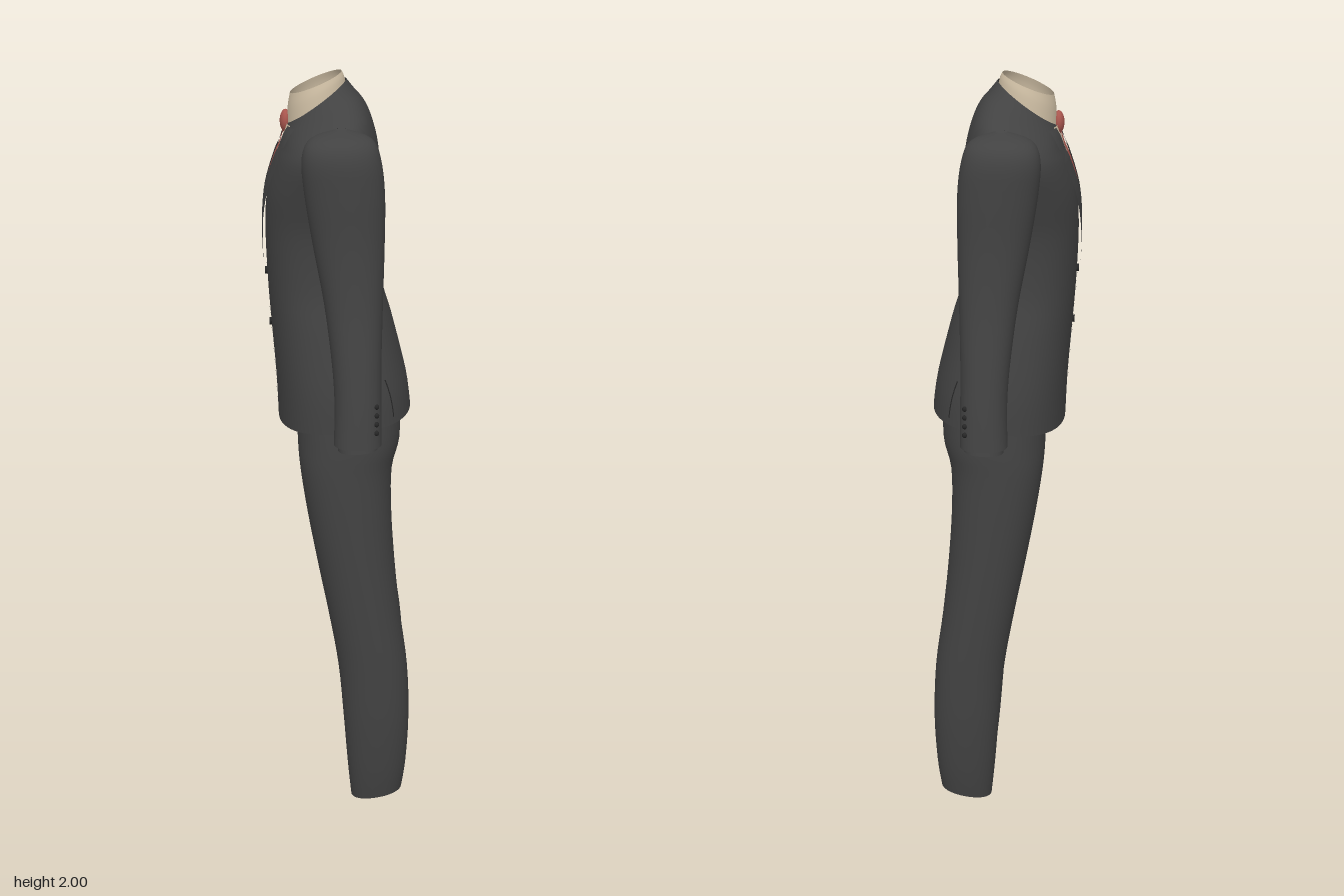
import * as THREE from 'three';

const mat = (name, color) => new THREE.MeshStandardMaterial({ name, color, side: THREE.DoubleSide });

// A ring is [yFront, yBack, xFront, xBack, zMin, zMax, squareness]; the suit faces -x.
function ringPoint(r, a) {
  const [yF, yB, xF, xB, z0, z1, n] = r;
  const pow = (v) => Math.sign(v) * Math.abs(v) ** (2 / n);
  const u = (1 - pow(Math.cos(a))) / 2;
  return [xF + (xB - xF) * u, yF + (yB - yF) * u, (z0 + z1) / 2 + ((z1 - z0) / 2) * pow(Math.sin(a))];
}

// Smooth blend between neighbouring rings, t in 0..1
function ringAt(rings, t) {
  const f = t * (rings.length - 1);
  const i = Math.min(Math.floor(f), rings.length - 2);
  const k = f - i;
  const at = (j) => rings[Math.max(0, Math.min(rings.length - 1, j))];
  return rings[i].map((b, c) => {
    const p0 = at(i - 1)[c], p2 = at(i + 1)[c], p3 = at(i + 2)[c];
    const m1 = (p2 - p0) / 2, m2 = (p3 - b) / 2;
    return b + m1 * k + (3 * (p2 - b) - 2 * m1 - m2) * k * k + (2 * (b - p2) + m1 + m2) * k ** 3;
  });
}

function build(pos, index) {
  const g = new THREE.BufferGeometry();
  g.setAttribute('position', new THREE.Float32BufferAttribute(pos, 3));
  g.setIndex(index);
  g.computeVertexNormals();
  return g;
}

// Skin over rings listed from bottom to top, with optional bottom cap
function loft(rings, capped = false, sides = 40) {
  const pos = [], idx = [];
  const rows = (rings.length - 1) * 4;
  for (let i = 0; i <= rows; i++) {
    const r = ringAt(rings, i / rows);
    for (let j = 0; j < sides; j++) pos.push(...ringPoint(r, (j / sides) * Math.PI * 2));
  }
  for (let i = 0; i < rows; i++) {
    for (let j = 0; j < sides; j++) {
      const a = i * sides + j, b = i * sides + ((j + 1) % sides);
      idx.push(a, b, a + sides, b, b + sides, a + sides);
    }
  }
  if (capped) {
    const r = rings[0], base = pos.length / 3;
    pos.push((r[2] + r[3]) / 2, (r[0] + r[1]) / 2, (r[4] + r[5]) / 2);
    for (let j = 0; j < sides; j++) pos.push(...ringPoint(r, (j / sides) * Math.PI * 2));
    for (let j = 0; j < sides; j++) idx.push(base, base + 1 + ((j + 1) % sides), base + 1 + j);
  }
  return build(pos, idx);
}

const sym = (yF, yB, xF, xB, w, n) => [yF, yB, xF, xB, -w, w, n];
const jacketRings = [
  sym(1.085, 1.115, -0.165, 0.19, 0.25, 2.5),
  sym(1.2, 1.2, -0.17, 0.178, 0.243, 2.5),
  sym(1.35, 1.35, -0.182, 0.14, 0.217, 2.4),
  sym(1.46, 1.46, -0.19, 0.11, 0.196, 2.4),
  sym(1.6, 1.6, -0.195, 0.11, 0.197, 2.4),
  sym(1.7, 1.7, -0.188, 0.107, 0.222, 2.4),
  sym(1.78, 1.81, -0.165, 0.1, 0.25, 2.4),
  sym(1.815, 1.88, -0.15, 0.083, 0.235, 2.3),
  sym(1.842, 1.925, -0.142, 0.062, 0.17, 2.2),
  sym(1.858, 1.955, -0.138, 0.037, 0.118, 2.1),
  sym(1.87, 1.98, -0.135, 0.017, 0.09, 2),
];
const legRings = [
  [0, 0.025, 0.03, 0.17, 0.105, 0.215, 2.2],
  [0.1, 0.11, 0.02, 0.181, 0.1, 0.23, 2.2],
  [0.25, 0.25, 0.008, 0.188, 0.09, 0.243, 2.2],
  [0.4, 0.4, -0.006, 0.182, 0.073, 0.247, 2.2],
  [0.55, 0.55, -0.032, 0.162, 0.055, 0.249, 2.2],
  [0.7, 0.7, -0.062, 0.146, 0.038, 0.25, 2.2],
  [0.85, 0.85, -0.09, 0.136, 0.02, 0.25, 2.3],
  [0.97, 0.97, -0.108, 0.137, 0, 0.249, 2.3],
  [1.05, 1.05, -0.114, 0.158, -0.05, 0.247, 2.3],
  [1.16, 1.16, -0.115, 0.16, -0.1, 0.235, 2.3],
];
const sleeveRings = [
  [1.1, 1.1, -0.022, 0.1, 0.272, 0.385, 2.2],
  [1.2, 1.2, -0.02, 0.1, 0.247, 0.37, 2.2],
  [1.3, 1.3, -0.026, 0.1, 0.225, 0.352, 2.2],
  [1.45, 1.45, -0.045, 0.104, 0.192, 0.325, 2.2],
  [1.6, 1.6, -0.073, 0.108, 0.174, 0.311, 2.2],
  [1.73, 1.73, -0.094, 0.108, 0.168, 0.31, 2.2],
  [1.82, 1.82, -0.1, 0.097, 0.165, 0.306, 2.2],
  [1.865, 1.865, -0.078, 0.075, 0.16, 0.277, 2.2],
  [1.885, 1.885, -0.015, 0.015, 0.185, 0.215, 2],
];
const cuffRings = [
  [1.085, 1.09, -0.012, 0.09, 0.283, 0.378, 2.2],
  [1.13, 1.13, -0.012, 0.09, 0.275, 0.37, 2.2],
];
const collarRings = [
  sym(1.86, 1.968, -0.136, 0.016, 0.089, 2),
  sym(1.91, 1.988, -0.134, 0.011, 0.085, 2),
  sym(1.945, 2.0, -0.128, 0.005, 0.079, 2),
];
const mirror = (rings) => rings.map(([a, b, c, d, z0, z1, n]) => [a, b, c, d, -z1, -z0, n]);

// Depth of the jacket surface at height y and width z; face -1 is the chest, +1 the back
function jacketX(y, z, face = -1) {
  let lo = 0, hi = 1, p;
  for (let k = 0; k < 30; k++) {
    const t = (lo + hi) / 2, r = ringAt(jacketRings, t);
    const s = Math.min(1, Math.abs(z) / r[5]) ** (r[6] / 2);
    p = ringPoint(r, face < 0 ? Math.asin(s) : Math.PI - Math.asin(s));
    if (p[1] < y) lo = t; else hi = t;
  }
  return p[0];
}

// Thin cloth panel laid on the jacket; rows are [y, zFrom, zTo]
function panel(rows, lift, face = -1) {
  const pos = [], idx = [], cols = 8, steps = 8;
  const total = (rows.length - 1) * steps;
  for (let i = 0; i <= total; i++) {
    const k = Math.min(Math.floor(i / steps), rows.length - 2), f = i / steps - k;
    const [y, a, b] = rows[k].map((v, c) => v + (rows[k + 1][c] - v) * f);
    for (let j = 0; j <= cols; j++) {
      const z = a + ((b - a) * j) / cols;
      pos.push(jacketX(y, z, face) + face * lift, y, z);
    }
  }
  for (let i = 0; i < total; i++) {
    for (let j = 0; j < cols; j++) {
      const a = i * (cols + 1) + j, c = a + cols + 1;
      idx.push(a, a + 1, c, a + 1, c + 1, c);
    }
  }
  return build(pos, idx);
}

export function createModel() {
  const cloth = mat('charcoal cloth', 0x424242);
  const trim = mat('dark trim', 0x262626);
  const shirt = mat('cream shirt', 0xcdbda3);
  const tieRed = mat('red tie', 0xa9564e);
  const group = new THREE.Group();
  const add = (name, geometry, material) => {
    const mesh = new THREE.Mesh(geometry, material);
    mesh.name = name;
    group.add(mesh);
    return mesh;
  };

  add('jacketBody', loft(jacketRings, false, 64), cloth);
  add('shirtCollar', loft(collarRings), shirt);

  // Shirt front and tie in the neck opening
  add('shirtFront', panel([[1.67, -0.003, 0.003], [1.8, -0.045, 0.045], [1.868, -0.06, 0.06]], 0.003), shirt);
  add('tieBlade', panel([[1.67, -0.003, 0.003], [1.75, -0.027, 0.027], [1.85, -0.018, 0.018]], 0.007), tieRed);
  const knot = add('tieKnot', new THREE.SphereGeometry(1, 20, 14), tieRed);
  knot.scale.set(0.015, 0.03, 0.024);
  knot.position.set(-0.14, 1.872, 0);

  // Front closure and buttons
  add('frontEdge', panel([[1.1, 0.004, 0.007], [1.5, 0.004, 0.007]], 0.002), trim);
  for (const y of [1.34, 1.48]) {
    const button = add('frontButton', new THREE.CylinderGeometry(0.01, 0.01, 0.006, 16), trim);
    button.rotation.z = Math.PI / 2;
    button.position.set(jacketX(y, 0.02) - 0.003, y, 0.02);
  }

  for (const side of [1, -1]) {
    const label = side > 0 ? 'left' : 'right';
    const place = (rings) => (side > 0 ? rings : mirror(rings));
    add(label + 'TrouserLeg', loft(place(legRings), true), cloth);
    add(label + 'Sleeve', loft(place(sleeveRings), true), cloth);
    add(label + 'InnerCuff', loft(place(cuffRings), true), cloth);

    // Notched lapel, collar wing and rear vent
    const flip = (rows) => rows.map(([y, a, b]) => (side > 0 ? [y, a, b] : [y, -b, -a]));
    add(label + 'Lapel', panel(flip([[1.5, 0, 0.004], [1.66, 0, 0.075], [1.79, 0.036, 0.13], [1.81, 0.042, 0.085]]), 0.009), cloth);
    add(label + 'CollarWing', panel(flip([[1.81, 0.042, 0.085], [1.825, 0.046, 0.12], [1.868, 0.058, 0.105]]), 0.009), cloth);
    add(label + 'Vent', panel(flip([[1.13, 0.2, 0.203], [1.23, 0.199, 0.202]]), 0.002, 1), trim);

    // Sleeve buttons
    for (let i = 0; i < 4; i++) {
      const y = 1.14 + i * 0.022;
      const r = ringAt(sleeveRings, (y - 1.1) / 0.1 / (sleeveRings.length - 1));
      const [x, , z] = ringPoint(r, 2.4);
      const button = add(label + 'SleeveButton', new THREE.SphereGeometry(0.007, 10, 8), trim);
      button.position.set(x, y, side * z);
    }
  }
  return group;
}
